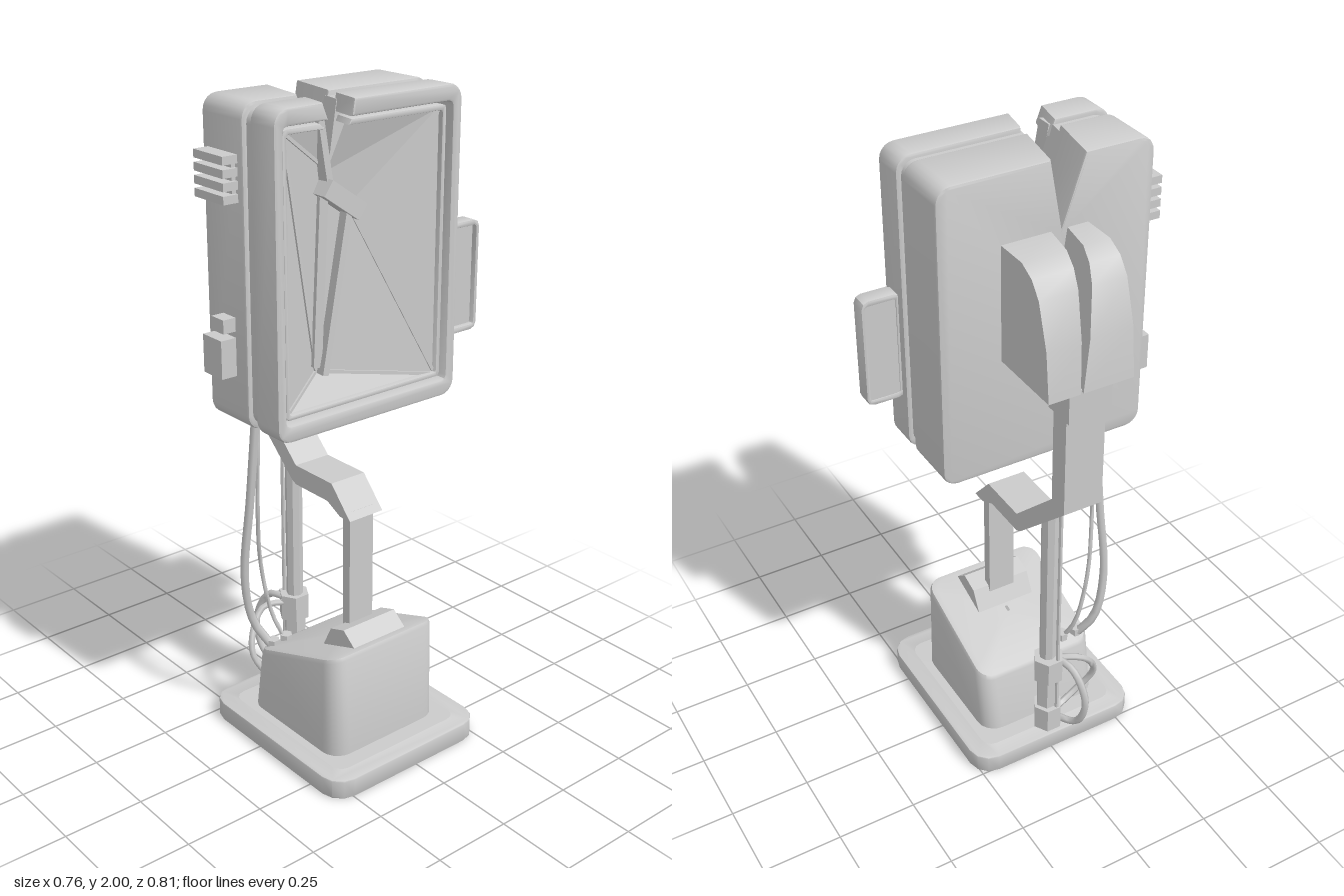
import * as THREE from 'three';
import { toCreasedNormals } from 'three/addons/utils/BufferGeometryUtils.js';

const mat = new THREE.MeshStandardMaterial({ color: 0xcccccc, side: THREE.DoubleSide });
const V = (x, y, z) => new THREE.Vector3(x, y, z);

function add(parent, name, geo, crease = 0.6) {
  const mesh = new THREE.Mesh(toCreasedNormals(geo, crease), mat);
  mesh.name = name;
  parent.add(mesh);
  return mesh;
}

// Box given by its limits
function box(parent, name, x0, x1, y0, y1, z0, z1) {
  const g = new THREE.BoxGeometry(x1 - x0, y1 - y0, z1 - z0);
  return add(parent, name, g.translate((x0 + x1) / 2, (y0 + y1) / 2, (z0 + z1) / 2));
}

// Rounded rectangle, running from the top of the +a side round to the top of the -a side
function ring(a0, a1, b0, b1, r, n = 5) {
  const centres = [[a1 - r, b1 - r], [a1 - r, b0 + r], [a0 + r, b0 + r], [a0 + r, b1 - r]];
  return centres.flatMap(([a, b], k) => Array.from({ length: n + 1 }, (_, i) => {
    const t = Math.PI / 2 * (1 - k - i / n);
    return [a + r * Math.cos(t), b + r * Math.sin(t)];
  }));
}

const shapeOf = (pts) => new THREE.Shape(pts.map((p) => new THREE.Vector2(...p)));

function extrude(pts, depth, bevel = 0, hole = null) {
  const s = shapeOf(pts);
  if (hole) s.holes.push(shapeOf(hole));
  return new THREE.ExtrudeGeometry(s, {
    depth: depth - 2 * bevel, bevelEnabled: bevel > 0, bevelSize: bevel,
    bevelThickness: bevel, bevelOffset: -bevel, bevelSegments: 2,
  }).translate(0, 0, bevel);
}

// Outline in (z, y), extruded along x
const alongX = (pts, x0, x1, bevel, hole) => {
  const flip = (l) => l && l.map(([z, y]) => [-z, y]);
  return extrude(flip(pts), x1 - x0, bevel, flip(hole)).rotateY(Math.PI / 2).translate(x0, 0, 0);
};
// Outline in (x, y), extruded along z
const alongZ = (pts, z0, z1, bevel) => extrude(pts, z1 - z0, bevel).translate(0, 0, z0);
// Outline in (x, z), extruded up y
const alongY = (pts, y0, y1, bevel, hole) =>
  extrude(pts, y1 - y0, bevel, hole).rotateX(Math.PI / 2).translate(0, y1, 0);

function warp(geo, rule) {
  const p = geo.attributes.position;
  const v = V(0, 0, 0);
  for (let i = 0; i < p.count; i++) {
    rule(v.fromBufferAttribute(p, i));
    p.setXYZ(i, v.x, v.y, v.z);
  }
  return geo;
}

// The crack runs diagonally through the head
const slant = (geo) => warp(geo, (v) => {
  if (v.y > 1.75 && v.z > -0.01 && v.z < 0.25) v.z += (v.x - 0.02) * 0.17;
});

function cable(parent, name, pts, r, sides = 6) {
  const path = new THREE.CatmullRomCurve3(pts.map((p) => V(...p)));
  add(parent, name, new THREE.TubeGeometry(path, 20, r, sides), 1.2);
}

// Straight square bar between two points
function bar(parent, name, a, b, w, h) {
  const m = box(parent, name, -w / 2, w / 2, -h / 2, h / 2, -a.distanceTo(b) / 2, a.distanceTo(b) / 2);
  m.position.copy(a).lerp(b, 0.5);
  m.lookAt(b);
}

function cylinder(parent, name, x, z, y0, y1, r, sides = 6) {
  add(parent, name, new THREE.CylinderGeometry(r, r, y1 - y0, sides).translate(x, (y0 + y1) / 2, z));
}

function buildBase(root) {
  const base = new THREE.Group();
  base.name = 'base';
  root.add(base);
  // Hollow plate with a skirt
  const outer = ring(-0.26, 0.38, -0.265, 0.315, 0.07, 3);
  add(base, 'plateSkirt', alongY(outer, 0, 0.062, 0.004, ring(-0.21, 0.33, -0.215, 0.265, 0.04, 3)));
  add(base, 'plateTop', alongY(ring(-0.25, 0.37, -0.255, 0.305, 0.065, 3), 0.045, 0.06, 0,
    ring(-0.145, 0.26, -0.17, 0.225, 0.05, 3)));

  // Hollow pedestal with a sloping top, lofted from rounded rings
  const top = (x) => 0.27 + (x + 0.115) * 0.347;
  const rings = [[-0.155, 0.272, -0.182, 0.235, 0.06, 0.055], [-0.122, 0.262, -0.178, 0.231, 0.05, -0.018],
    [-0.116, 0.256, -0.173, 0.226, 0.045, -0.005], [-0.1, 0.24, -0.157, 0.21, 0.035, 0], [0.06, 0.08, 0.02, 0.03, 0.004, 0]]
    .map(([a, b, c, d, r, y], i) => ring(a, b, c, d, r).map(([x, z]) => [x, i ? top(x) + y : y, z]));
  const n = rings[0].length, index = [];
  for (let i = 0; i < rings.length - 1; i++) for (let j = 0; j < n; j++) {
    const a = i * n + j, b = i * n + (j + 1) % n;
    index.push(a, b, a + n, b, b + n, a + n);
  }
  const g = new THREE.BufferGeometry();
  g.setAttribute('position', new THREE.Float32BufferAttribute(rings.flat(2), 3));
  g.setIndex(index);
  add(base, 'pedestal', g, 0.7);

  // Leg and its foot bracket
  add(base, 'footBracket', alongZ([[0.09, 0.34], [0.125, 0.41], [0.185, 0.43], [0.235, 0.39], [0.225, 0.37]], -0.07, 0.13));
  box(base, 'leg', 0.115, 0.147, 0.38, 0.79, -0.015, 0.075);
}

function buildArm(root) {
  const arm = new THREE.Group();
  arm.name = 'arm';
  root.add(arm);
  add(arm, 'bentArm', alongZ([[-0.35, 1.4], [-0.35, 1.035], [-0.11, 0.81], [-0.09, 0.8], [0.06, 0.8], [0.12, 0.77],
    [0.165, 0.77], [0.08, 0.863], [-0.09, 0.863], [-0.285, 1.05], [-0.285, 1.4]], -0.035, 0.09));
  box(arm, 'armSocket', -0.37, -0.268, 1.355, 1.455, -0.04, 0.095);

  // Split hood behind the head
  const hood = [[-0.38, 1.45], [-0.365, 1.6], [-0.325, 1.73], [-0.29, 1.775], [-0.24, 1.8], [-0.13, 1.8], [-0.13, 1.45]];
  const crack = (x) => 0.17 * (x + 0.14);
  add(arm, 'hoodHalf', warp(alongZ(hood, -0.11, 0), (v) => {
    if (v.z > -0.02) v.z = 0.04 + crack(v.x) - (1.8 - v.y) * 0.03;
  }));
  add(arm, 'hoodHalf', warp(alongZ(hood, 0, 0.155), (v) => {
    if (v.z < 0.02) v.z = 0.09 + crack(v.x) - (1.8 - v.y) * 0.15;
  }));
  add(arm, 'hoodCore', alongZ(hood.map(([x, y]) => [-0.13 + (x + 0.13) * 0.75, 1.452 + (y - 1.45) * 0.7]), -0.1, 0.145));
  for (let i = 0; i < 4; i++) box(arm, 'hoodSlat', -0.225, -0.13, 1.585 + i * 0.022, 1.597 + i * 0.022, 0.15, 0.168);

  // Support pole with collars and a thin companion rod
  cylinder(arm, 'pole', -0.2, 0.015, 0.03, 0.93, 0.027, 8);
  cylinder(arm, 'poleRod', -0.236, 0.03, 0.06, 0.95, 0.007);
  cylinder(arm, 'poleSleeve', -0.2, 0.015, 0.06, 0.3, 0.036);
  cylinder(arm, 'upperCollar', -0.205, 0.015, 0.27, 0.355, 0.05);
  cylinder(arm, 'lowerCollar', -0.205, 0.015, 0.05, 0.15, 0.048);
}

function buildHead(root) {
  const head = new THREE.Group();
  head.name = 'head';
  root.add(head);
  const notch = [[0.065, 2], [0.1, 1.8], [0.17, 2]];
  const outline = ring(-0.295, 0.357, 1.087, 2, 0.045);
  add(head, 'rearShell', slant(alongX([...outline, ...notch], -0.135, 0.045, 0.008)));
  add(head, 'grooveCore', slant(alongX([...ring(-0.28, 0.342, 1.102, 1.985, 0.04),
    [0.07, 1.985], [0.1, 1.8], [0.165, 1.985]], 0.03, 0.095)));
  // Front frames, broken open at the crack
  const openFrame = (name, out, yOut, inn, yIn, x0, x1, bevel) => add(head, name, slant(alongX(
    [...out, [0.065, yOut], [0.073, yIn], ...inn.slice().reverse(), [0.152, yIn], [0.17, yOut]], x0, x1, bevel)));
  const rim = ring(-0.262, 0.327, 1.135, 1.953, 0.015, 2);
  openFrame('bezel', outline, 2, rim, 1.953, 0.08, 0.182, 0.007);
  openFrame('innerFrame', ring(-0.252, 0.317, 1.145, 1.943, 0.012, 2), 1.943,
    ring(-0.238, 0.304, 1.158, 1.928, 0.008, 2), 1.928, 0.085, 0.165, 0.003);

  // Caved-in screen made of flat shards
  const P = {
    TL: V(0.15, 1.935, 0.31), N1: V(0.14, 1.935, 0.185), A: V(0.1, 1.8, 0.12), N2: V(0.14, 1.935, 0.09),
    TR: V(0.15, 1.935, -0.245), BR: V(0.15, 1.15, -0.245), BL: V(0.15, 1.15, 0.31),
    B: V(0.1, 1.24, 0.165), C: V(0.1, 1.69, 0.045),
  };
  const shards = ['TL BL B', 'TL B A', 'TL A N1', 'N2 A TR', 'A C TR', 'C BR TR', 'C B BR', 'B BL BR', 'A B C'];
  const g = new THREE.BufferGeometry().setFromPoints(shards.flatMap((s) => s.split(' ').map((k) => P[k])));
  add(head, 'brokenScreen', g, 0.01);
  for (const s of ['TL A', 'TL B', 'BL B', 'B BR', 'C BR', 'C TR']) {
    const [a, b] = s.split(' ').map((k) => P[k]);
    bar(head, 'shardEdge', a, b, 0.01, 0.01);
  }
  // Loose strips hanging from the crack
  bar(head, 'looseStrip', V(0.14, 1.72, 0.08), V(0.135, 1.24, 0.165), 0.03, 0.02);
  bar(head, 'looseStrip', V(0.125, 1.74, 0.155), V(0.12, 1.26, 0.175), 0.018, 0.025);
  bar(head, 'stripClamp', V(0.135, 1.77, 0.165), V(0.14, 1.69, 0.05), 0.06, 0.05);
  bar(head, 'crackSplinter', V(0.12, 1.98, 0.18), V(0.12, 1.78, 0.145), 0.05, 0.02);

  // Louvres and switches on the front side
  for (let i = 0; i < 4; i++) box(head, 'louvre', -0.11, 0.022, 1.735 + i * 0.035, 1.758 + i * 0.035, 0.34, 0.405);
  box(head, 'louvreBack', -0.1, 0.012, 1.74, 1.86, 0.34, 0.37);
  box(head, 'switchBox', -0.092, -0.006, 1.24, 1.352, 0.34, 0.407);
  box(head, 'switchTop', -0.062, -0.006, 1.37, 1.41, 0.34, 0.398);

  // Recessed grip on the rear side
  add(head, 'grip', alongX(ring(-0.405, -0.285, 1.258, 1.594, 0.022, 2), 0.105, 0.157, 0.004,
    ring(-0.393, -0.302, 1.275, 1.577, 0.008, 2)));
  box(head, 'gripPanel', 0.108, 0.14, 1.27, 1.58, -0.396, -0.29);
}

function buildCables(root) {
  cable(root, 'thickCable', [[-0.08, 1.1, 0.24], [-0.1, 0.8, 0.255], [-0.125, 0.52, 0.265], [-0.125, 0.36, 0.235], [-0.085, 0.27, 0.19]], 0.014);
  cable(root, 'thinCable', [[-0.09, 1.1, 0.225], [-0.105, 0.75, 0.225], [-0.13, 0.55, 0.2], [-0.12, 0.36, 0.165], [-0.08, 0.27, 0.14]], 0.007);
  for (const z of [0.19, 0.14]) cylinder(root, 'cablePlug', -0.085, z, 0.23, 0.3, 0.02);
  // Loops beside the pole
  cable(root, 'poleLoop', [[-0.21, 0.34, 0.04], [-0.28, 0.33, 0.06], [-0.325, 0.22, 0.08], [-0.29, 0.11, 0.07], [-0.21, 0.08, 0.04]], 0.012);
  cable(root, 'poleLoop', [[-0.2, 0.33, 0.04], [-0.235, 0.32, 0.12], [-0.2, 0.2, 0.19], [-0.17, 0.11, 0.14], [-0.19, 0.08, 0.04]], 0.011);
}

export function createModel() {
  const root = new THREE.Group();
  root.name = 'brokenTerminal';
  buildBase(root);
  buildArm(root);
  buildHead(root);
  buildCables(root);
  return root;
}
